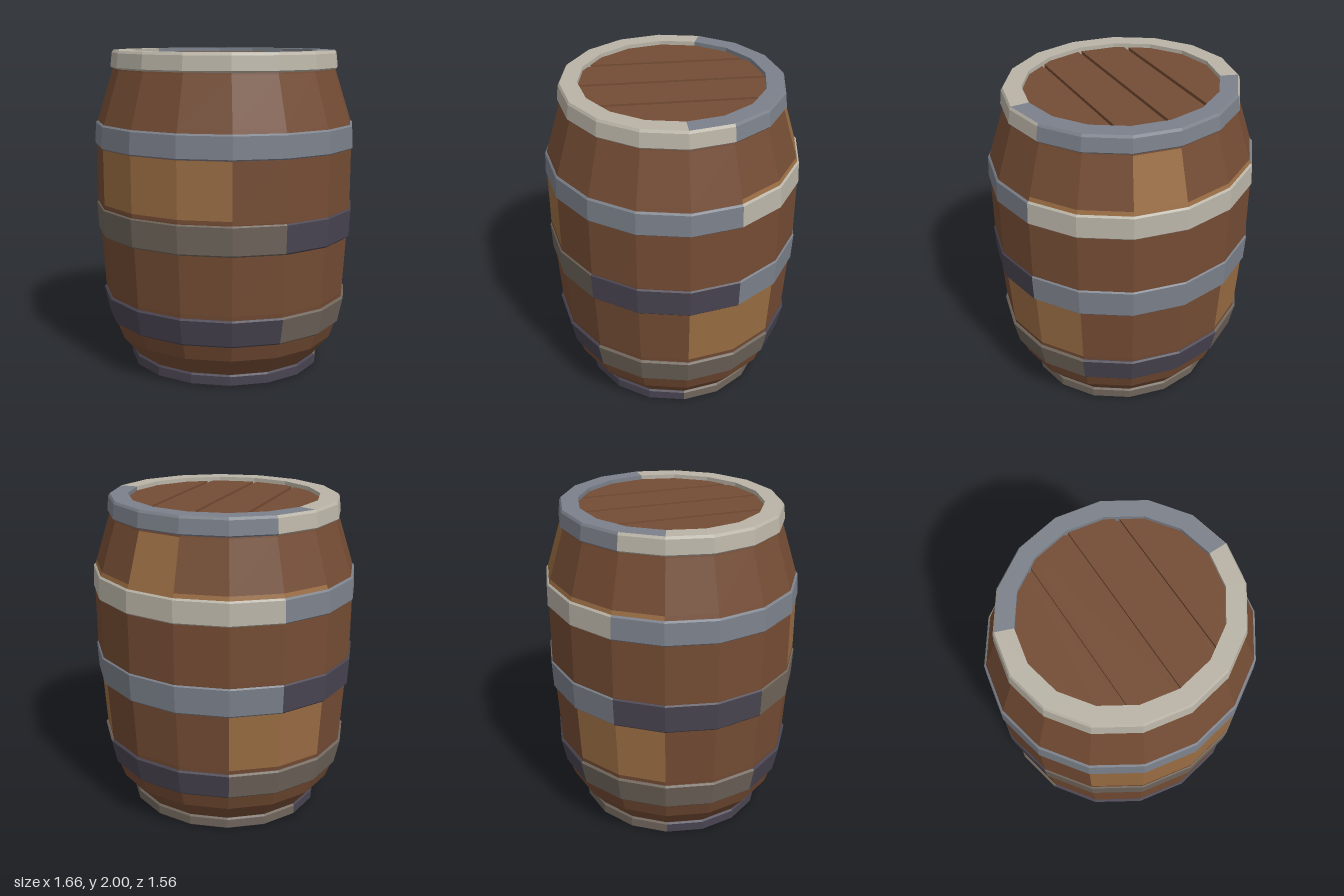
import * as THREE from 'three';

const SIDES = 16, DEPTH = 0.945; // sixteen-sided, slightly narrower in z

const mat = (name, color) => {
  const m = new THREE.MeshStandardMaterial({ color });
  m.name = name;
  return m;
};

// Point on the sixteen-sided outline; index 0 faces the front, rising towards +x
const corner = (i, r) => {
  const a = (i / SIDES) * Math.PI * 2;
  return [r * Math.sin(a), r * DEPTH * Math.cos(a)];
};

// Colour of a side from runs of [first side, material]; the last run wraps round
const pick = (runs, i) => {
  let found = runs[runs.length - 1][1];
  for (const [start, m] of runs) if (start <= i) found = m;
  return found;
};

// Faceted shell through [y, radius] rows, with one colour per facet
function shell(name, rows, runsOf) {
  const buckets = new Map();
  for (let j = 0; j < rows.length - 1; j++) {
    for (let i = 0; i < SIDES; i++) {
      const m = pick(runsOf(j), i);
      if (!buckets.has(m)) buckets.set(m, []);
      const at = (k, [y, r]) => { const [x, z] = corner(k, r); return [x, y, z]; };
      const a = at(i, rows[j]), b = at(i + 1, rows[j]);
      const c = at(i + 1, rows[j + 1]), d = at(i, rows[j + 1]);
      buckets.get(m).push(...a, ...b, ...c, ...a, ...c, ...d);
    }
  }
  const geo = new THREE.BufferGeometry(), all = [], mats = [];
  for (const [m, pts] of buckets) {
    geo.addGroup(all.length / 3, pts.length / 3, mats.length);
    mats.push(m);
    for (const p of pts) all.push(p);
  }
  geo.setAttribute('position', new THREE.Float32BufferAttribute(all, 3));
  geo.computeVertexNormals();
  const mesh = new THREE.Mesh(geo, mats);
  mesh.name = name;
  return mesh;
}

// Flat plate from [x, z] points, spanning y0 to y1
function plate(name, pts, y0, y1, material) {
  const shape = new THREE.Shape(pts.map(([x, z]) => new THREE.Vector2(x, -z)));
  const geo = new THREE.ExtrudeGeometry(shape, { depth: y1 - y0, bevelEnabled: false });
  geo.rotateX(-Math.PI / 2).translate(0, y0, 0);
  const mesh = new THREE.Mesh(geo, material);
  mesh.name = name;
  return mesh;
}

// Slice of the outline between two x positions
function slice(x0, x1, r) {
  const xs = [], zs = [];
  for (let i = -4; i <= 4; i++) {
    const [x, z] = corner(i, r);
    xs.push(x);
    zs.push(z);
  }
  const zAt = (x) => {
    for (let i = 0; i < 8; i++) {
      if (x <= xs[i + 1]) return zs[i] + (zs[i + 1] - zs[i]) * (x - xs[i]) / (xs[i + 1] - xs[i]);
    }
    return 0;
  };
  const cuts = [x0, ...xs.filter((x) => x > x0 + 1e-4 && x < x1 - 1e-4), x1];
  const front = cuts.map((x) => [x, Math.max(zAt(x), 0.001)]);
  return [...front, ...front.map(([x, z]) => [x, -z]).reverse()];
}

export function createModel() {
  const group = new THREE.Group();
  group.name = 'barrel';

  const wood = mat('wood', 0x744c34);
  const paleWood = mat('pale wood', 0x9a6d43);
  const pale = mat('pale metal', 0xbab4a7);
  const blue = mat('blue grey metal', 0x7c818b);
  const warm = mat('warm grey metal', 0x6f655b);
  const dark = mat('dark metal', 0x494451);

  // Staves, with paler repaired patches
  const staves = [
    [0.04, 0.585], [0.075, 0.605], [0.2, 0.71], [0.3, 0.745], [0.475, 0.78],
    [0.5, 0.783], [0.86, 0.805], [1.05, 0.82], [1.07, 0.82], [1.41, 0.82],
    [1.56, 0.81], [1.585, 0.802], [1.88, 0.707], [1.95, 0.69],
  ];
  const patches = {
    5: [[0, wood], [4, paleWood], [6, wood], [9, paleWood], [11, wood]],
    8: [[0, paleWood], [1, wood], [14, paleWood]],
    10: [[0, wood], [5, paleWood], [11, wood]],
    11: [[0, wood], [7, paleWood], [8, wood]],
  };
  group.add(shell('staves', staves, (j) => patches[j] || [[0, wood]]));

  // Bevelled hoops
  const hoop = (name, y0, r0, y1, r1, runs) => {
    const rows = [
      [y0, r0 - 0.05], [y0, r0 - 0.01], [y0 + 0.01, r0],
      [y1 - 0.01, r1], [y1, r1 - 0.01], [y1, r1 - 0.05],
    ];
    group.add(shell(name, rows, () => runs));
  };
  hoop('upperHoop', 1.41, 0.828, 1.56, 0.822, [[0, blue], [5, pale], [10, blue]]);
  hoop('middleHoop', 0.86, 0.82, 1.045, 0.828,
    [[0, warm], [2, dark], [5, blue], [10, dark], [13, warm]]);
  hoop('lowerHoop', 0.3, 0.762, 0.475, 0.795,
    [[0, dark], [2, warm], [6, dark], [9, warm], [13, dark]]);

  // Top rim, open in the middle
  const rimRows = [
    [1.89, 0.68], [1.89, 0.71], [1.9, 0.72], [1.985, 0.71],
    [2.0, 0.7], [2.0, 0.59], [1.94, 0.59],
  ];
  group.add(shell('topRim', rimRows, (j) => j < 4
    ? [[0, pale], [5, blue], [10, pale]]
    : [[0, pale], [4, blue], [11, pale]]));

  // Foot rim
  const footRows = [
    [0.04, 0.54], [0, 0.54], [0, 0.605], [0.01, 0.617],
    [0.065, 0.617], [0.075, 0.607], [0.075, 0.57],
  ];
  group.add(shell('footRim', footRows, (j) => j < 2
    ? [[0, dark]]
    : [[0, dark], [4, warm], [11, dark]]));

  // Lid planks running front to back over a backing disc
  group.add(plate('lidBacking', slice(-0.6, 0.6, 0.6), 1.93, 1.955, wood));
  const edges = [-0.595, -0.29, 0, 0.29, 0.595], gap = 0.012;
  for (let i = 0; i < 4; i++) {
    const x0 = edges[i] + (i > 0 ? gap : 0), x1 = edges[i + 1] - (i < 3 ? gap : 0);
    group.add(plate('lidPlank' + (i + 1), slice(x0, x1, 0.595), 1.955, 1.975, wood));
  }

  // Underside, with a dark stain along the front
  group.add(plate('base', slice(-0.56, 0.56, 0.56), 0.03, 0.05, wood));
  const stain = [[-0.27, 0.03], [-0.24, 0.28]];
  for (let i = 3; i >= -3; i--) stain.push(corner(i, 0.54));
  group.add(plate('baseStain', stain, 0.025, 0.031, dark));

  return group;
}
